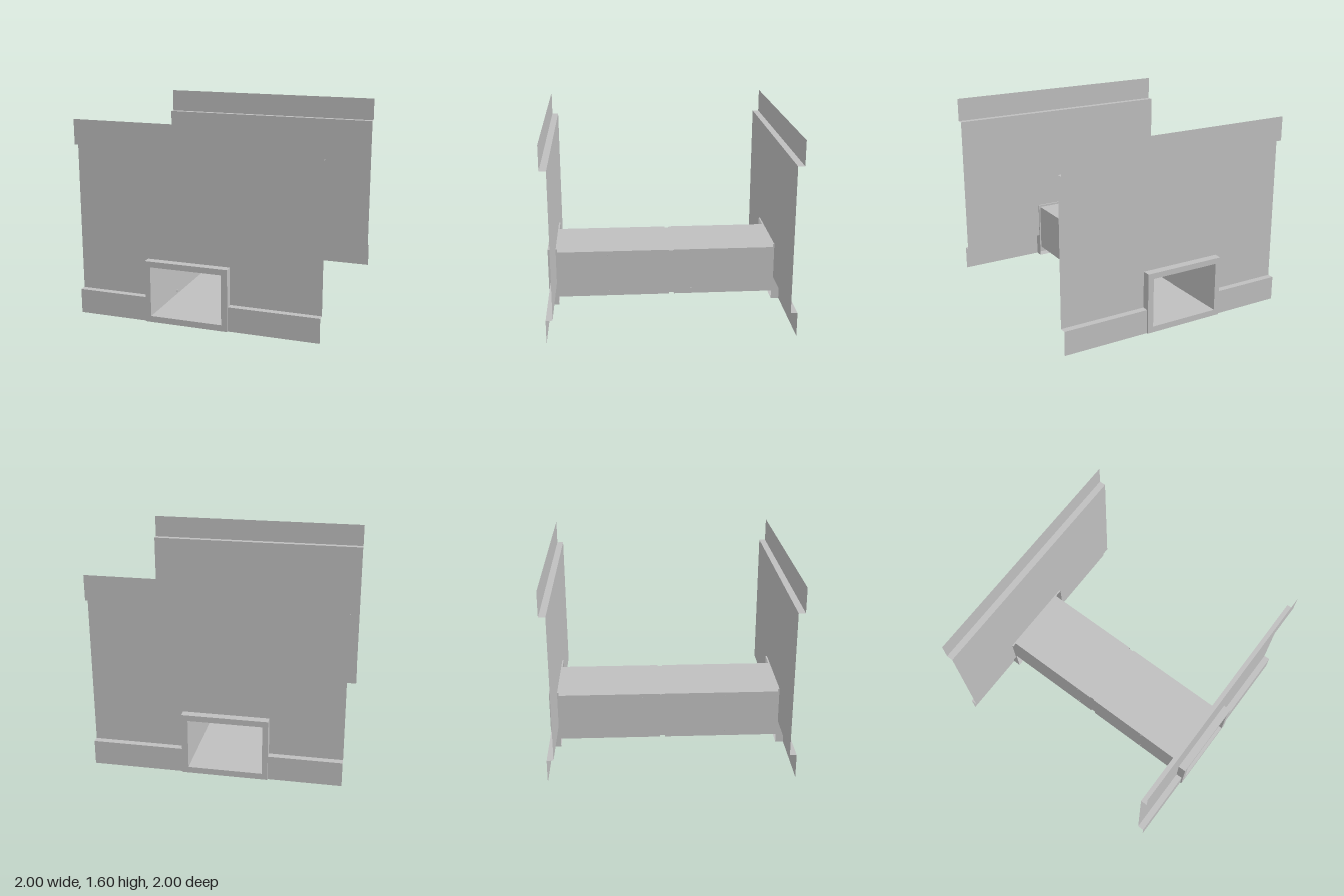
import * as THREE from 'three';

const steel = new THREE.MeshStandardMaterial({ color: 0xbfbfbf, side: THREE.DoubleSide });
steel.name = 'galvanised steel';

// rectangles as [x0, y0, x1, y1]
const DUCT = [-0.375, 0.05, 0.22, 0.458];
const SLEEVE = [-0.367, 0.059, 0.213, 0.45];
const FRAME = [-0.42, 0, 0.27, 0.505];

function part(name, geometry, parent) {
  const mesh = new THREE.Mesh(geometry, steel);
  mesh.name = name;
  parent.add(mesh);
  return mesh;
}

// sheet bent along a profile: pairs of points joined by separate flat faces
function bentSheet(loop, place) {
  const pos = [];
  for (let i = 0; i < loop.length - 1; i++) {
    const [a, b, c, d] = [place(loop[i], 0), place(loop[i + 1], 0), place(loop[i + 1], 1), place(loop[i], 1)];
    pos.push(...a, ...b, ...c, ...a, ...c, ...d);
  }
  const g = new THREE.BufferGeometry();
  g.setAttribute('position', new THREE.Float32BufferAttribute(pos, 3));
  g.computeVertexNormals();
  return g;
}

// open rectangular tube along z
function tube([x0, y0, x1, y1], z0, z1) {
  const loop = [[x0, y0], [x1, y0], [x1, y1], [x0, y1], [x0, y0]];
  return bentSheet(loop, ([x, y], end) => [x, y, end ? z1 : z0]);
}

const rectPoints = ([x0, y0, x1, y1]) =>
  [[x0, y0], [x1, y0], [x1, y1], [x0, y1]].map(([x, y]) => new THREE.Vector2(x, y));

function wall(side) {
  const group = new THREE.Group();
  group.name = side > 0 ? 'frontWall' : 'backWall';
  const outer = side * 0.987, inner = side * 0.933;

  // upper part: top strip and its ledge
  part('topStrip', bentSheet([[1.6, outer], [1.4, outer], [1.4, inner]],
    ([y, z], end) => [end ? 1 : -1, y, z]), group);

  // main panel, notched around the frame
  const [fx0, , fx1, fy1] = FRAME;
  const panel = new THREE.Shape([[-1, 0.2], [fx0, 0.2], [fx0, fy1], [fx1, fy1], [fx1, 0.2],
    [1, 0.2], [1, 1.4], [-1, 1.4]].map(([x, y]) => new THREE.Vector2(x, y)));
  part('panel', new THREE.ShapeGeometry(panel), group).position.z = inner;

  // bottom strips and ledges either side of the frame
  for (const [x0, x1] of [[-1, fx0], [fx1, 1]]) {
    part('bottomStrip', bentSheet([[0.2, inner], [0.2, outer], [0, outer]],
      ([y, z], end) => [end ? x1 : x0, y, z]), group);
  }

  // frame: rim open towards the inside, closed by a face plate with the duct opening
  part('frameRim', tube(FRAME, side * 0.92, side), group);
  const face = new THREE.Shape(rectPoints(FRAME));
  face.holes.push(new THREE.Path(rectPoints(DUCT)));
  part('framePlate', new THREE.ShapeGeometry(face), group).position.z = side;
  return group;
}

export function createModel() {
  const model = new THREE.Group();
  model.name = 'wallDuct';
  model.add(wall(1), wall(-1));

  // two duct lengths joined by an inner sleeve
  part('frontDuct', tube(DUCT, -0.032, 1), model);
  part('backDuct', tube(DUCT, -1, -0.073), model);
  part('sleeve', tube(SLEEVE, -0.42, 0.68), model);

  // screws through both side walls
  const screw = new THREE.CylinderGeometry(0.01, 0.01, 0.022, 12).rotateZ(Math.PI / 2);
  for (const x of [-0.366, 0.214]) {
    for (const y of [0.09, 0.42]) {
      for (const z of [0.49, -0.22]) part('screw', screw, model).position.set(x, y, z);
    }
  }
  return model;
}
